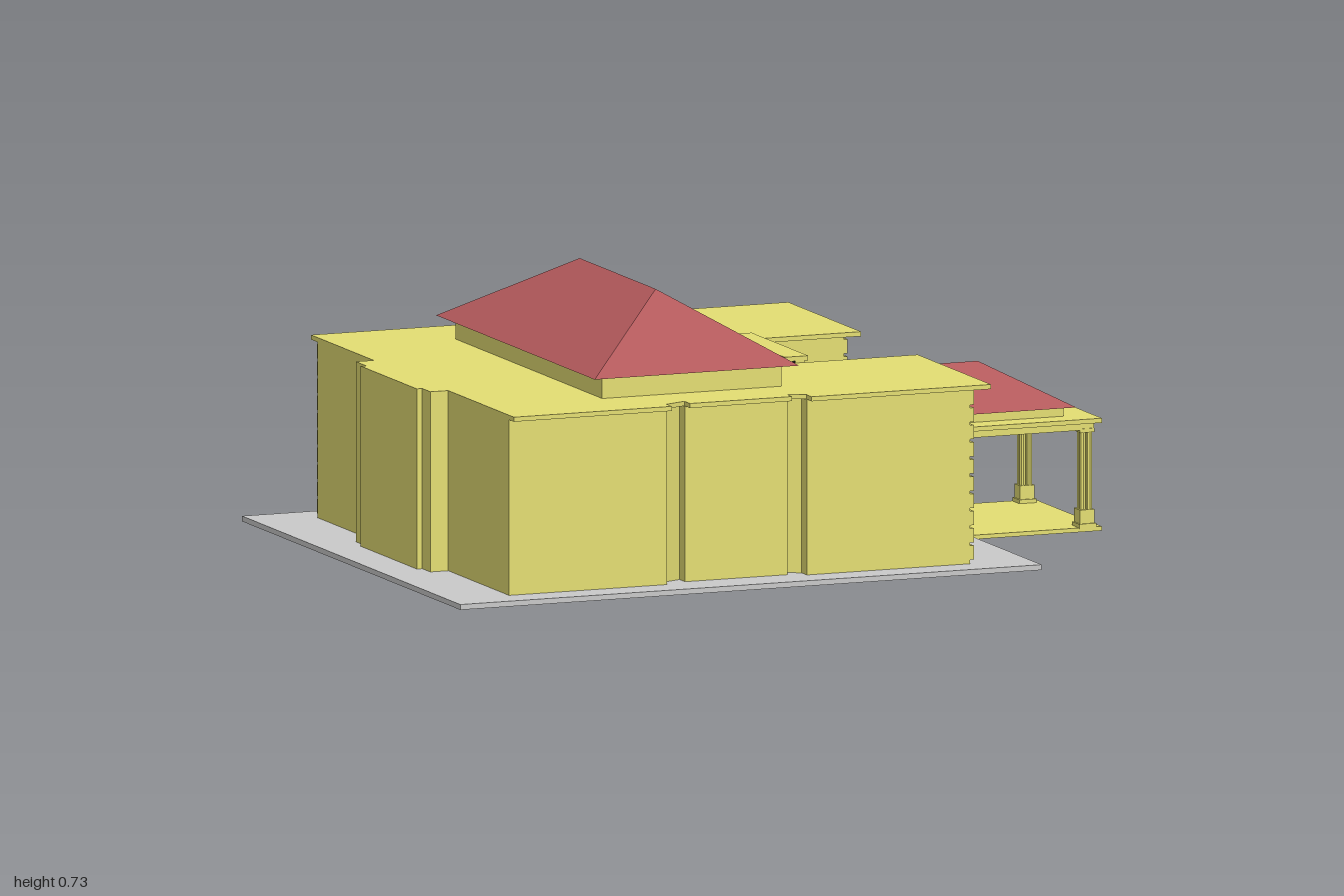
import * as THREE from 'three';

const mat = (color) => new THREE.MeshStandardMaterial({ color, flatShading: true });
const cream = mat(0xe6e074), red = mat(0xb2595b), black = mat(0x111111);
const brown = mat(0x8f5238), grey = mat(0xcccccc);

export function createModel() {
  const model = new THREE.Group();

  const add = (name, geometry, material, parent = model) => {
    const mesh = new THREE.Mesh(geometry, material);
    mesh.name = name;
    parent.add(mesh);
    return mesh;
  };

  // box given by its extents on each axis
  const box = (name, [x0, x1], [y0, y1], [z0, z1], material = cream, parent = model) => {
    const g = new THREE.BoxGeometry(x1 - x0, y1 - y0, z1 - z0);
    g.translate((x0 + x1) / 2, (y0 + y1) / 2, (z0 + z1) / 2);
    return add(name, g, material, parent);
  };

  // horizontal slab from a plan outline of [x, z] points
  const slab = (name, plan, y0, y1) => {
    const shape = new THREE.Shape(plan.map(([x, z]) => new THREE.Vector2(x, -z)));
    const g = new THREE.ExtrudeGeometry(shape, { depth: y1 - y0, bevelEnabled: false });
    g.rotateX(-Math.PI / 2).translate(0, y0, 0);
    return add(name, g, cream);
  };

  // hipped roof with its ridge along x, centred on the origin
  const hipRoof = (length, width, ridge, height) => {
    const l = length / 2, w = width / 2, r = ridge / 2;
    const p = [[-l, 0, w], [l, 0, w], [l, 0, -w], [-l, 0, -w], [-r, height, 0], [r, height, 0]];
    const faces = [0, 1, 5, 0, 5, 4, 1, 2, 5, 2, 3, 4, 2, 4, 5, 3, 0, 4, 3, 2, 1, 3, 1, 0];
    const g = new THREE.BufferGeometry();
    g.setAttribute('position', new THREE.Float32BufferAttribute(faces.flatMap((i) => p[i]), 3));
    g.computeVertexNormals();
    return g;
  };

  // building plan: xr = +x face, f / b / s = insets of front, back and left side, n = recess half width
  const plan = (xr, f, b, s, n) => [
    // front, with a shallow bay between two splayed niches
    [-0.83 + s, 0.69 - f], [-0.39, 0.69 - f], [-0.39, 0.655 - f], [-0.33, 0.63 - f],
    [-0.33, 0.667 - f], [-0.045, 0.667 - f], [-0.045, 0.63 - f], [0, 0.655 - f],
    [0, 0.69 - f], [xr, 0.69 - f],
    // entrance recess
    [xr, n], [0.135, n], [0.135, -n], [xr, -n],
    // back, with one splayed panel
    [xr, -0.685 + b], [0, -0.685 + b], [0, -0.66 + b], [-0.045, -0.635 + b],
    [-0.33, -0.635 + b], [-0.39, -0.66 + b], [-0.39, -0.685 + b], [-0.83 + s, -0.685 + b],
    // stepped projection on the side
    [-0.83 + s, -0.26], [-0.88 + s, -0.26], [-0.88 + s, -0.19], [-0.895 + s, -0.19],
    [-0.895 + s, 0.19], [-0.88 + s, 0.19], [-0.88 + s, 0.245], [-0.83 + s, 0.245],
  ];

  // ground plate
  box('groundPlate', [-1, 0.62], [0.013, 0.027], [-0.74, 0.74], grey);

  // walls: core plus ten courses separated by grooves on the back and entrance sides
  slab('wallCore', plan(0.455, 0.033, 0.044, 0, 0.198), 0.027, 0.486);
  for (let i = 0; i < 10; i++) {
    const y = 0.037 + i * 0.045;
    slab('wallCourse', plan(0.466, 0.035, 0.034, 0.002, 0.2), y, y + 0.037);
  }
  slab('roofSlab', plan(0.5, 0, 0, 0, 0.192), 0.486, 0.498);

  // raised storey and main roof
  box('upperStorey', [-0.51, -0.01], [0.498, 0.556], [-0.483, 0.51]);
  const mainRoof = add('mainRoof', hipRoof(1.075, 0.57, 0.515, 0.175), red);
  mainRoof.rotation.y = Math.PI / 2;
  mainRoof.position.set(-0.255 - 0.005, 0.555, 0.007);

  // entrance facade inside the recess
  const facade = new THREE.Group();
  facade.name = 'entranceFacade';
  model.add(facade);
  box('facadeWall', [0.13, 0.18], [0.002, 0.355], [-0.19, 0.19], cream, facade);
  box('windowGlass', [0.135, 0.172], [0.355, 0.504], [-0.187, 0.187], black, facade);
  box('facadeCap', [0.13, 0.195], [0.503, 0.515], [-0.192, 0.192], cream, facade);
  for (let i = -3; i <= 3; i++) {
    const z = i * 0.0615;
    box('mullion', [0.16, 0.185], [0.355, 0.504], [z - 0.006, z + 0.006], cream, facade);
  }
  box('door', [0.129, 0.19], [0, 0.22], [-0.06, 0.065], black, facade);
  box('friezeBand', [0.175, 0.185], [0.225, 0.26], [-0.187, 0.187], brown, facade);
  box('friezeLedge', [0.175, 0.19], [0.26, 0.275], [-0.19, 0.19], cream, facade);
  for (let i = -2; i <= 2; i++) {
    const g = new THREE.CylinderGeometry(0.018, 0.018, 0.012, 8);
    g.rotateY(Math.PI / 8).rotateZ(Math.PI / 2).translate(0.188, 0.2425, i * 0.063);
    add('friezeStud', g, cream, facade);
  }

  // porch floor, ceiling beams and roof
  box('porchFloor', [0.44, 1], [0.011, 0.022], [-0.23, 0.225]);
  box('porchSlab', [0.468, 1], [0.293, 0.305], [-0.233, 0.226]);
  box('porchSlabInner', [0.18, 0.468], [0.293, 0.305], [-0.197, 0.197]);
  box('roofPlinth', [0.23, 0.92], [0.305, 0.331], [-0.165, 0.16]);
  for (const z of [-0.203, 0.203]) box('sideBeam', [0.468, 0.98], [0.276, 0.293], [z - 0.018, z + 0.018]);
  box('endBeam', [0.944, 0.98], [0.276, 0.293], [-0.185, 0.185]);
  const porchRoof = add('porchRoof', hipRoof(0.745, 0.375, 0.35, 0.105), red);
  porchRoof.position.set(0.573, 0.33, -0.004);

  // porch columns: clustered posts on a block, with a cap
  for (const x of [0.5, 0.96]) {
    for (const z of [-0.203, 0.203]) {
      const column = new THREE.Group();
      column.name = 'porchColumn';
      column.position.set(x, 0, z);
      model.add(column);
      box('columnBase', [-0.024, 0.024], [0.02, 0.032], [-0.024, 0.024], cream, column);
      box('columnBlock', [-0.02, 0.02], [0.032, 0.068], [-0.02, 0.02], cream, column);
      for (const px of [-0.009, 0.009]) {
        for (const pz of [-0.009, 0.009]) {
          const post = new THREE.CylinderGeometry(0.008, 0.008, 0.205, 8);
          add('columnPost', post, cream, column).position.set(px, 0.17, pz);
        }
      }
      box('columnCap', [-0.02, 0.02], [0.27, 0.28], [-0.02, 0.02], cream, column);
    }
  }

  return model;
}
